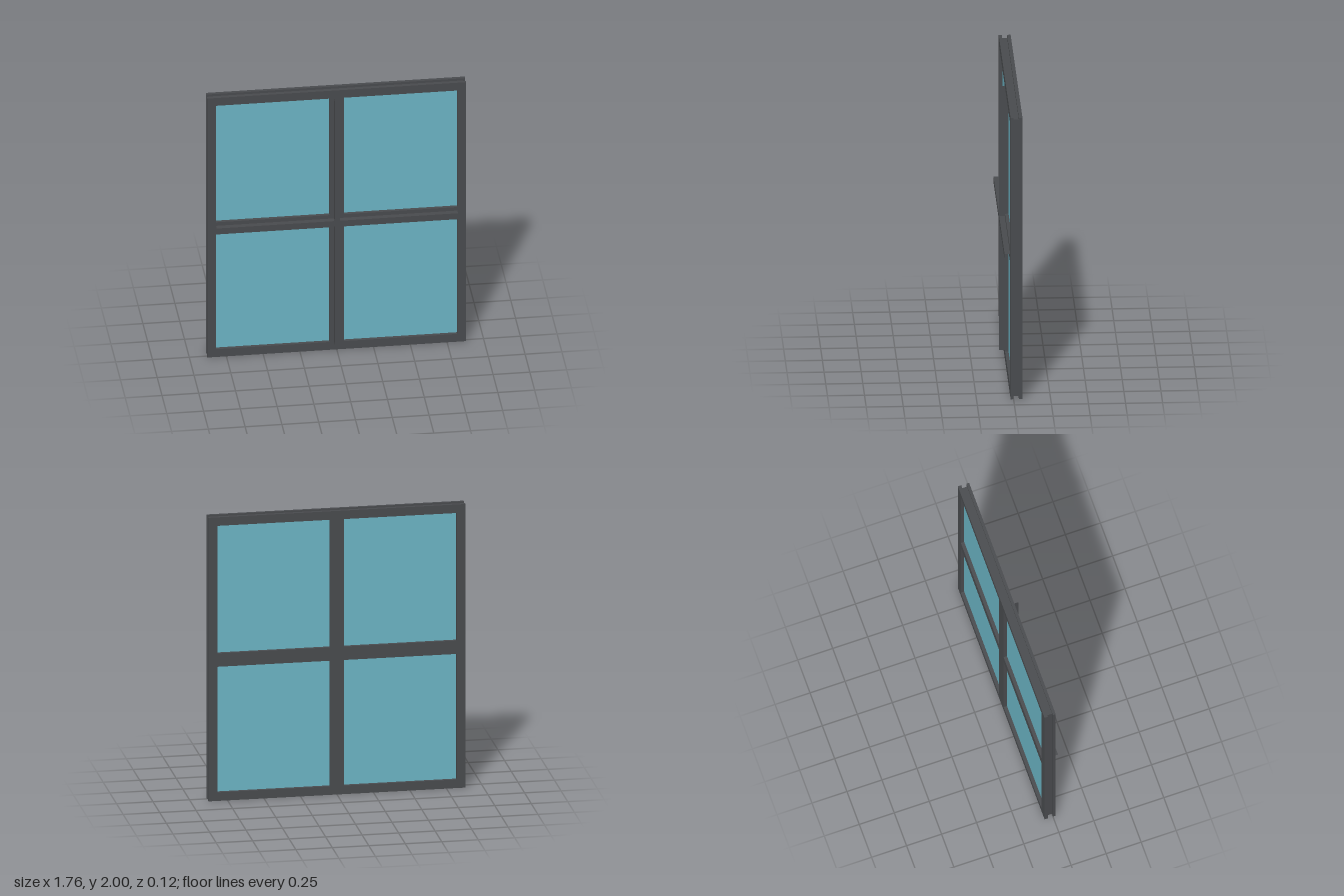
import * as THREE from 'three';

const W = 0.88, H = 2, BORDER = 0.06;
const BACK = -0.06, FRONT = 0.02;      // depth of the frame
const BAR_Y = 0.993;                   // centre of the horizontal bar

const metal = new THREE.MeshStandardMaterial({ color: 0x484a4d, flatShading: true });
const glass = new THREE.MeshStandardMaterial({ color: 0x6ab2c2 });

// Rectangular ring, shrunk by inset on the outside, between two depths
function ring(inset, z0, z1) {
  const rect = (Type, x, y0, y1) => {
    const path = new Type();
    path.moveTo(-x, y0).lineTo(x, y0).lineTo(x, y1).lineTo(-x, y1).closePath();
    return path;
  };
  const shape = rect(THREE.Shape, W - inset, inset, H - inset);
  shape.holes.push(rect(THREE.Path, W - BORDER, BORDER, H - BORDER));
  return new THREE.ExtrudeGeometry(shape, { depth: z1 - z0, bevelEnabled: false }).translate(0, 0, z0);
}

// Upright box between two corners
function box(x0, x1, y0, y1, z0, z1) {
  return new THREE.BoxGeometry(x1 - x0, y1 - y0, z1 - z0)
    .translate((x0 + x1) / 2, (y0 + y1) / 2, (z0 + z1) / 2);
}

// Upright square tube without end caps
function openTube(width, length, depth) {
  return new THREE.CylinderGeometry(Math.SQRT1_2, Math.SQRT1_2, 1, 4, 1, true)
    .rotateY(Math.PI / 4)
    .scale(width, length, depth);
}

export function createModel() {
  const model = new THREE.Group();
  model.name = 'window';
  const add = (name, geometry, material = metal) => {
    const mesh = new THREE.Mesh(geometry, material);
    mesh.name = name;
    model.add(mesh);
    return mesh;
  };

  // Outer frame: two flanges with a groove between them
  add('frameFront', ring(0, 0, FRONT));
  add('frameGroove', ring(0.016, -0.036, 0));
  add('frameBack', ring(0, BACK, -0.036));

  // Flat bases of the crossing bars
  const ix = W - BORDER, barHalf = 0.049;
  add('verticalBar', box(-barHalf, barHalf, BORDER, H - BORDER, BACK, FRONT));
  for (const s of [-1, 1]) {
    const xs = [s * barHalf, s * ix].sort((a, b) => a - b);
    add('horizontalBar', box(...xs, BAR_Y - 0.047, BAR_Y + 0.047, BACK, FRONT));
  }

  // Hollow glazing caps on the front, open at their ends
  const capZ = 0.039, capDepth = 0.038, capWidth = 0.037;
  add('verticalCap', openTube(capWidth, H - 2 * BORDER, capDepth)).position.set(0, H / 2, capZ);
  const capLength = ix - capWidth / 2;
  for (const s of [-1, 1]) {
    const cap = openTube(0.04, capLength, capDepth).rotateZ(Math.PI / 2);
    add('horizontalCap', cap).position.set(s * (ix + capWidth / 2) / 2, BAR_Y, capZ);
  }

  // Four glass panes
  for (const s of [-1, 1]) {
    const xs = [s * barHalf, s * ix].sort((a, b) => a - b);
    add('lowerPane', box(...xs, BORDER, BAR_Y - 0.047, -0.036, -0.004), glass);
    add('upperPane', box(...xs, BAR_Y + 0.047, H - BORDER, -0.036, -0.004), glass);
  }
  return model;
}
